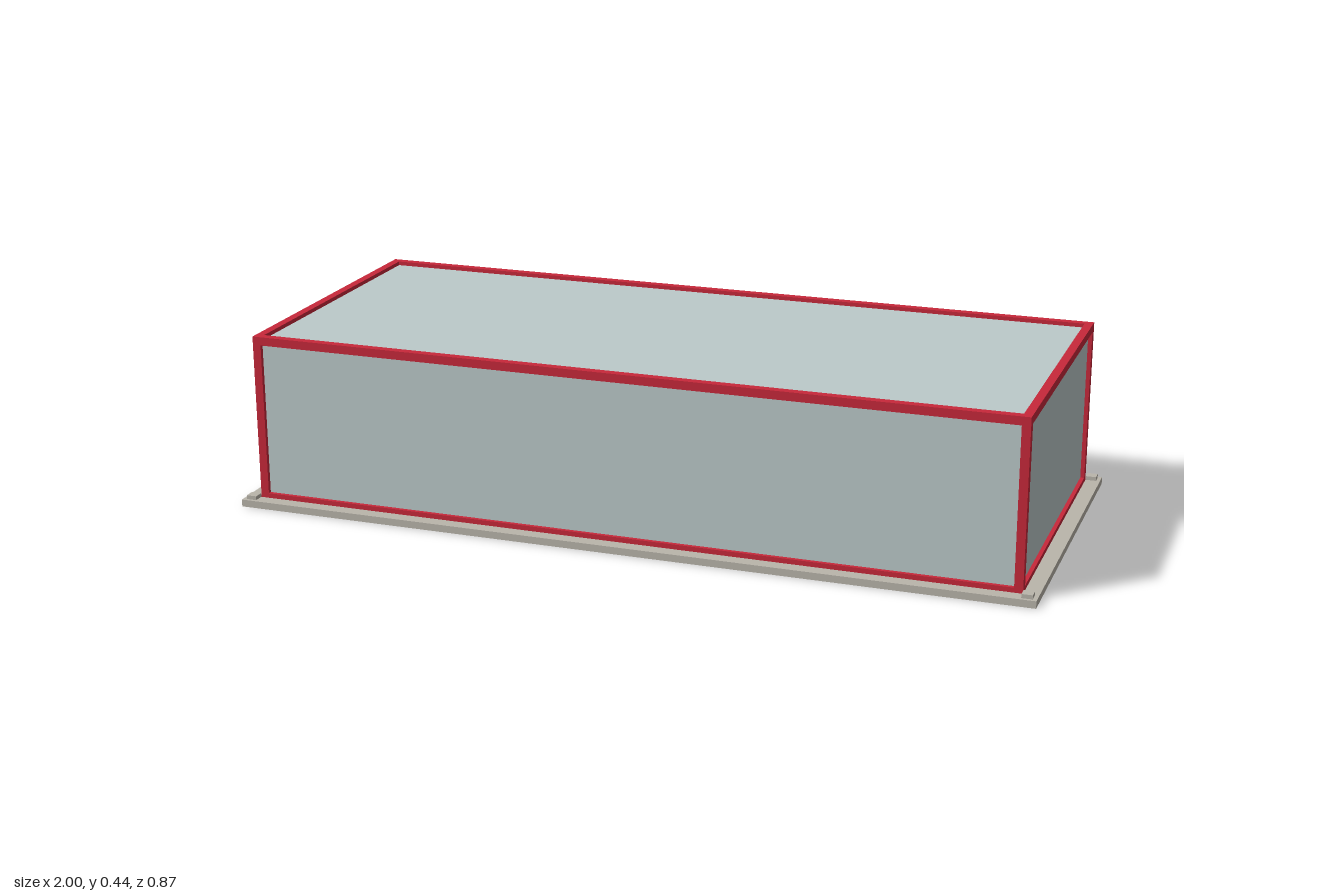
import * as THREE from 'three';

export function createModel() {
  const stone = new THREE.MeshStandardMaterial({ color: 0xbab5ab });
  stone.name = 'stone';
  const red = new THREE.MeshStandardMaterial({ color: 0xc8283a });
  red.name = 'red frame';
  const glass = new THREE.MeshStandardMaterial({ color: 0xbccaca });
  glass.name = 'pale glass';

  const model = new THREE.Group();
  model.name = 'displayCase';

  // Box given by its size, centre x and z, and the height of its underside
  function box(name, material, w, h, d, x, y, z) {
    const mesh = new THREE.Mesh(new THREE.BoxGeometry(w, h, d), material);
    mesh.name = name;
    mesh.position.set(x, y + h / 2, z);
    model.add(mesh);
  }

  const baseH = 0.018, top = 0.436, X = 0.963, Z = 0.402;
  const bar = 0.021, sill = 0.012, recess = 0.01;

  // Base slab
  box('base', stone, 2, baseH, 0.872, 0, 0, 0);

  // Glazed body, set back behind the frame
  box('glassBody', glass, 2 * (X - recess), top - recess - baseH, 2 * (Z - recess), 0, baseH, 0);

  for (const s of [-1, 1]) {
    // Long rails along x, front and back
    const railL = 2 * (X - bar), railD = 2 * (Z - bar);
    box('longTopRail', red, railL, bar, bar, 0, top - bar, s * (Z - bar / 2));
    box('longSill', red, railL, sill, bar, 0, baseH, s * (Z - bar / 2));
    // Short rails along z, left and right
    box('shortTopRail', red, bar, bar, railD, s * (X - bar / 2), top - bar, 0);
    box('shortSill', red, bar, sill, railD, s * (X - bar / 2), baseH, 0);
    for (const t of [-1, 1]) {
      // Corner posts and the small blocks on the base corners
      box('cornerPost', red, bar, top - baseH, bar, s * (X - bar / 2), baseH, t * (Z - bar / 2));
      box('cornerBlock', stone, 0.026, 0.01, 0.026, s * 0.977, baseH, t * 0.415);
    }
  }
  return model;
}
